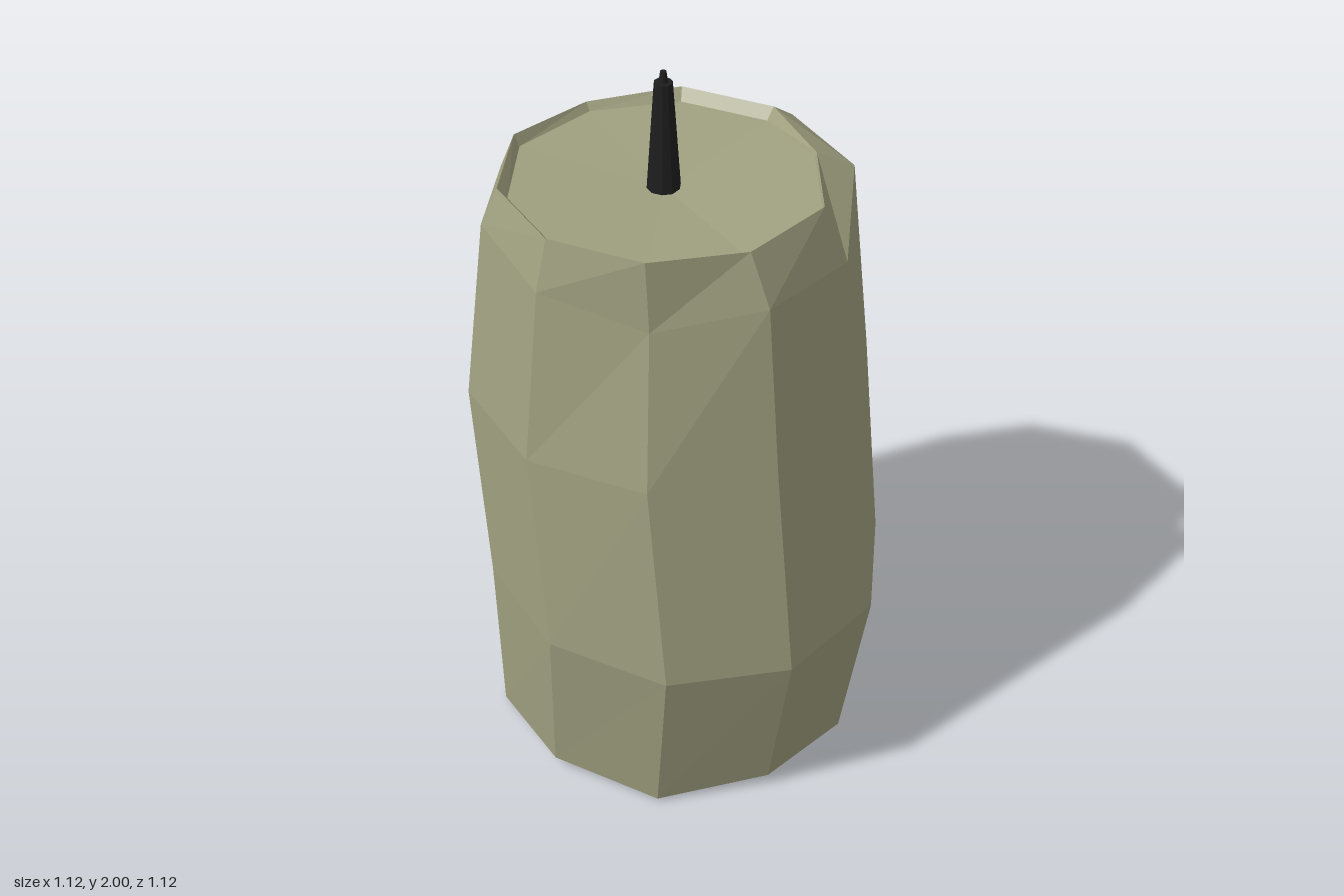
import * as THREE from 'three';

const SIDES = 10;

// Cross-sections: centre x/z, radius, height, and small per-corner height offsets.
// Corner 0 faces the front, corners run towards +x.
const RINGS = [
  { x: 0, z: 0, r: 0, y: 0.02 },                                    // underside centre
  { x: 0, z: 0, r: 0.51, y: 0.02, dy: [0.02, -0.01, 0.015, -0.02, 0.04, 0, -0.01, 0.005, 0.035, -0.01] },
  { x: 0.04, z: 0, r: 0.55, y: 0.52, dy: [0.01, -0.01, -0.02, -0.02, -0.01, 0, 0.02, 0.03, 0.03, 0.02] },
  { x: -0.04, z: -0.02, r: 0.545, y: 1.1 },
  { x: -0.045, z: -0.025, r: 0.485, y: 1.6, dy: [-0.02, -0.07, -0.03, -0.04, 0.06, 0.06, 0, 0, 0, 0.01],
    dr: [0, -0.02, 0, 0, 0, 0, 0, 0, 0, 0] },                       // shoulder
  { x: -0.04, z: 0, r: 0.425, y: 1.722, dy: [0, 0, -0.01, 0, 0, 0, 0, -0.01, 0, 0],
    dr: [0, 0, -0.01, 0.005, -0.03, 0, 0, -0.01, 0, 0] },           // rim
  { x: -0.04, z: 0, r: 0.4, y: 1.69, dy: [0, 0, 0, 0.02, 0.02, 0, 0, 0, 0, 0],
    dr: [0, 0, 0.005, 0.025, -0.01, 0, 0, 0, 0.01, 0] },            // edge of the pool
  { x: -0.04, z: 0, r: 0, y: 1.67 },                                // pool centre
];

function corner(ring, k) {
  k %= SIDES;
  const a = (k / SIDES) * Math.PI * 2;
  const r = ring.r + (ring.dr ? ring.dr[k] : 0);
  return [
    ring.x + r * Math.sin(a),
    ring.y + (ring.dy ? ring.dy[k] : 0),
    ring.z + r * Math.cos(a),
  ];
}

// Joins consecutive rings into a faceted skin
function loft(rings) {
  const pos = [];
  for (let i = 0; i < rings.length - 1; i++) {
    const lo = rings[i], hi = rings[i + 1];
    for (let k = 0; k < SIDES; k++) {
      const a = corner(lo, k), b = corner(lo, k + 1);
      const c = corner(hi, k + 1), d = corner(hi, k);
      if (lo.r > 0) pos.push(...a, ...b, ...(hi.r > 0 ? c : d));
      if (hi.r > 0) pos.push(...a, ...c, ...d);
    }
  }
  const geo = new THREE.BufferGeometry();
  geo.setAttribute('position', new THREE.Float32BufferAttribute(pos, 3));
  geo.computeVertexNormals();
  return geo;
}

export function createModel() {
  const model = new THREE.Group();
  model.name = 'candle';

  // Wax body with hollowed top
  const wax = new THREE.MeshStandardMaterial({ color: 0xa0a080, flatShading: true });
  const body = new THREE.Mesh(loft(RINGS), wax);
  body.name = 'waxBody';
  model.add(body);

  // Tapered wick with a narrow tip
  const char = new THREE.MeshStandardMaterial({ color: 0x1e1e1e, flatShading: true });
  const wick = new THREE.Group();
  wick.name = 'wick';
  const addSection = (name, rTop, rBottom, y0, y1) => {
    const mesh = new THREE.Mesh(new THREE.CylinderGeometry(rTop, rBottom, y1 - y0, SIDES), char);
    mesh.name = name;
    mesh.position.set(-0.043, (y0 + y1) / 2, 0);
    wick.add(mesh);
  };
  addSection('wickStem', 0.024, 0.045, 1.66, 1.97);
  addSection('wickTip', 0.008, 0.012, 1.97, 2.0);
  model.add(wick);

  return model;
}
